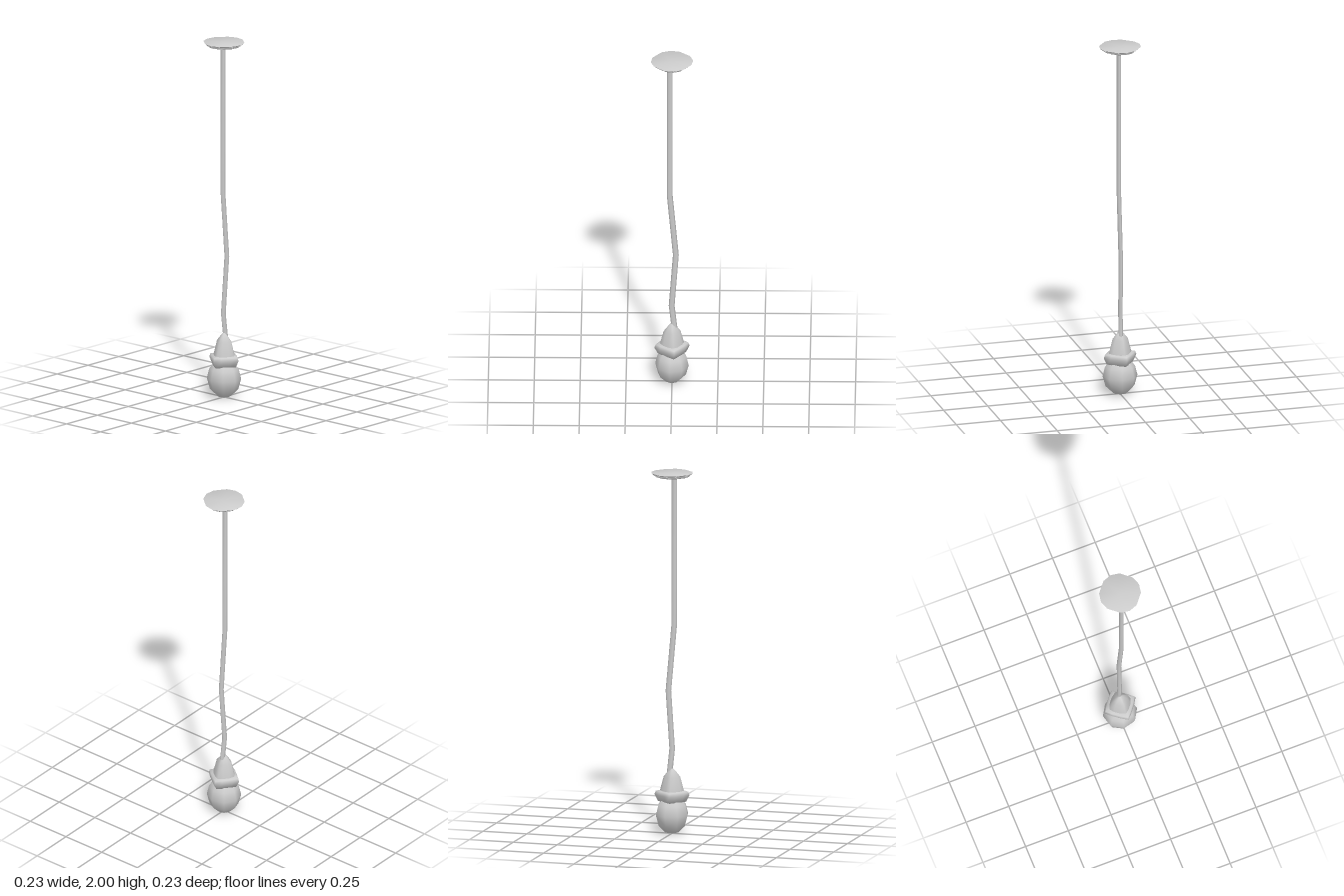
import * as THREE from 'three';

const material = new THREE.MeshStandardMaterial({ color: 0xcccccc });
const TURN = -0.13; // slight twist of the four-cornered parts

// Four-fold outline: a corner plus a shoulder either side of it, per quarter turn.
function fourfold(shoulder, spread, turn = TURN) {
  const points = [];
  for (let q = 0; q < 4; q++) {
    for (const s of [-1, 0, 1]) {
      const a = turn + q * Math.PI / 2 + s * spread;
      const r = s === 0 ? 1 : shoulder;
      points.push([r * Math.cos(a), r * Math.sin(a)]);
    }
  }
  return points;
}

// Smooth skin over scaled copies of a section; rings are [y, scale, cx, cz], bottom to top.
function loft(section, rings) {
  const n = section.length, positions = [], index = [];
  for (const [y, s, cx = 0, cz = 0] of rings) {
    for (const [x, z] of section) positions.push(cx + x * s, y, cz + z * s);
  }
  for (let i = 0; i < rings.length - 1; i++) {
    for (let j = 0; j < n; j++) {
      const a = i * n + j, b = i * n + (j + 1) % n, c = a + n, d = b + n;
      index.push(a, c, b, b, c, d);
    }
  }
  const geometry = new THREE.BufferGeometry();
  geometry.setAttribute('position', new THREE.Float32BufferAttribute(positions, 3));
  geometry.setIndex(index);
  geometry.computeVertexNormals();
  return geometry;
}

export function createModel() {
  const group = new THREE.Group();
  const add = (name, geometry) => {
    const mesh = new THREE.Mesh(geometry, material);
    mesh.name = name;
    group.add(mesh);
    return mesh;
  };

  // Shallow ceiling plate
  add('ceilingPlate', loft(fourfold(0.985, 0.445, -0.09),
    [[1.98, 0], [1.98, 0.092], [2, 0.116], [2, 0]]));

  // Thin, slightly flattened cord with a few kinks
  const cordSection = [];
  for (let i = 0; i < 6; i++) {
    const a = i * Math.PI / 3;
    cordSection.push([0.016 * Math.cos(a), 0.012 * Math.sin(a)]);
  }
  add('cord', loft(cordSection, [
    [0.33, 1, 0.014, 0], [0.47, 1, -0.002, -0.003], [0.79, 1, 0.021, 0.002],
    [1.16, 1, -0.012, 0.003], [1.985, 1, -0.012, 0.003],
  ]));

  // Tapered socket cap
  add('socketCap', loft(fourfold(0.87, 0.45), [
    [0.2, 0], [0.2, 0.07], [0.24, 0.066], [0.315, 0.046], [0.345, 0.022], [0.36, 0.008], [0.36, 0],
  ]));

  // Square collar around the bottom of the socket
  add('socketCollar', loft(fourfold(0.8, 0.42), [
    [0.18, 0], [0.178, 0.078], [0.215, 0.097], [0.234, 0.09], [0.24, 0.06], [0.24, 0],
  ]));

  // Round low-poly bulb
  const profile = [[0, 0], [0.04, 0.008], [0.08, 0.047], [0.096, 0.105], [0.083, 0.158], [0.05, 0.2], [0, 0.21]]
    .map(([r, y]) => new THREE.Vector2(r, y));
  const bulb = add('bulb', new THREE.LatheGeometry(profile, 8));
  bulb.rotation.y = TURN;
  bulb.scale.x = 0.96;

  return group;
}
